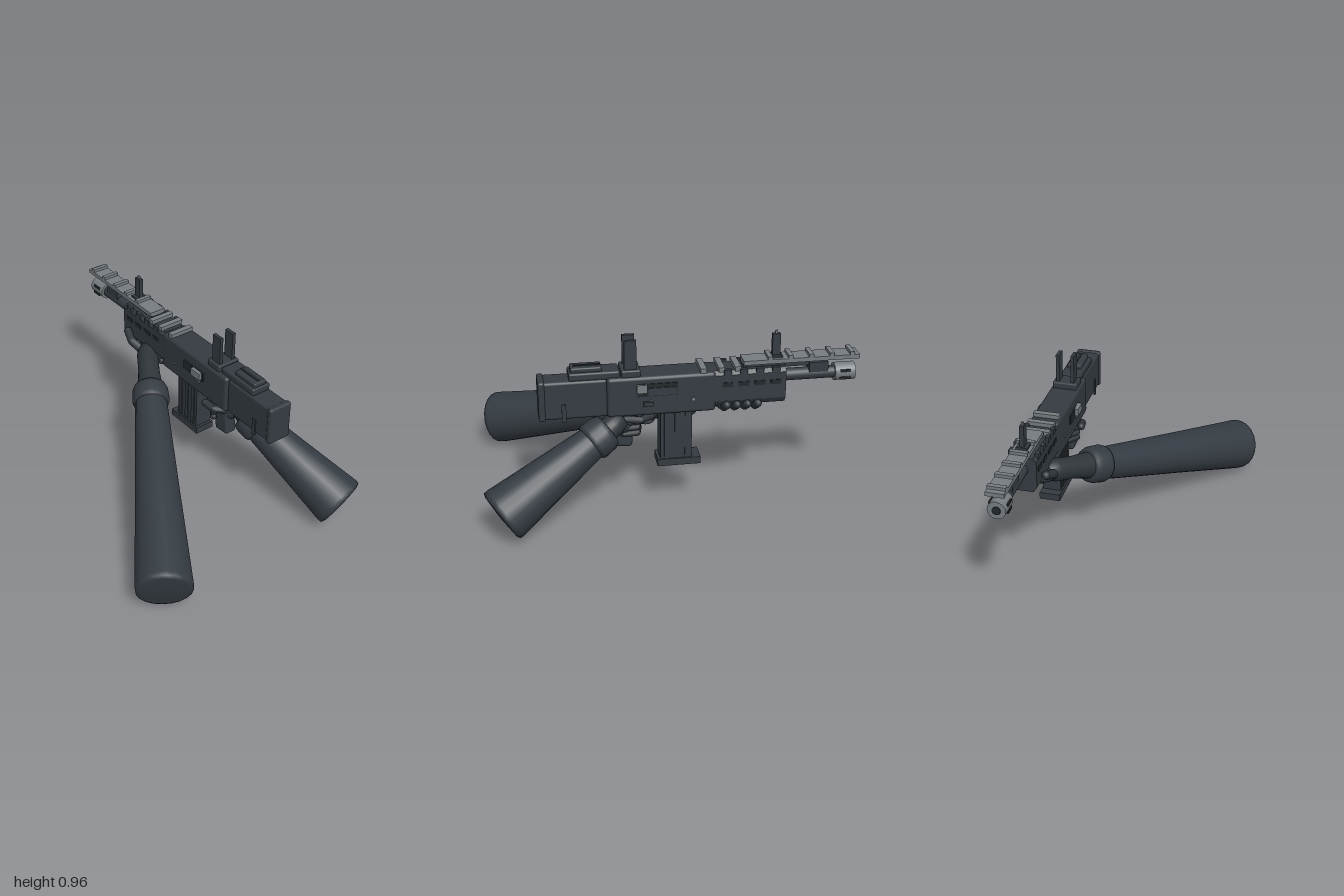
import * as THREE from 'three';
import { RoundedBoxGeometry } from 'three/addons/geometries/RoundedBoxGeometry.js';

const material = (name, color) => {
  const m = new THREE.MeshStandardMaterial({ color });
  m.name = name;
  return m;
};

export function createModel() {
  const gunmetal = material('gunmetal', 0x343b41);
  const fabric = material('sleeve fabric', 0x343b42);
  const glove = material('glove', 0x2e3439);
  const steel = material('bare steel', 0x757c80);
  const shadow = material('dark recess', 0x23282c);
  const model = new THREE.Group();
  const rifle = new THREE.Group();
  rifle.name = 'rifle';
  rifle.position.x = 0.298;
  model.add(rifle);

  const add = (parent, name, geometry, mat) => {
    const mesh = new THREE.Mesh(geometry, mat);
    mesh.name = name;
    parent.add(mesh);
    return mesh;
  };
  // Box given by its limits on each axis; x is measured from the rifle's middle
  const box = (name, x0, x1, y0, y1, z0, z1, mat = gunmetal, round = 0) => {
    const size = [x1 - x0, y1 - y0, z1 - z0];
    const geo = round ? new RoundedBoxGeometry(...size, 2, round) : new THREE.BoxGeometry(...size);
    const mesh = add(rifle, name, geo, mat);
    mesh.position.set((x0 + x1) / 2, (y0 + y1) / 2, (z0 + z1) / 2);
    return mesh;
  };
  // Centred box given by its half width
  const mid = (name, w, ...rest) => box(name, -w, w, ...rest);

  // Stock, receiver and handguard
  mid('stock', 0.063, 0.56, 0.768, 0.33, 0.67, gunmetal, 0.015);
  mid('buttPad', 0.069, 0.555, 0.773, 0.65, 0.685, gunmetal, 0.012);
  mid('receiver', 0.08, 0.558, 0.775, -0.23, 0.335, gunmetal, 0.018);
  const guard = new THREE.Shape();
  [[-0.06, 0.58], [0.06, 0.58], [0.078, 0.61], [0.078, 0.755], [0.06, 0.775],
    [-0.06, 0.775], [-0.078, 0.755], [-0.078, 0.61]]
    .forEach(([x, y], i) => (i ? guard.lineTo(x, y) : guard.moveTo(x, y)));
  add(rifle, 'handguard', new THREE.ExtrudeGeometry(guard, { depth: 0.38, bevelEnabled: false }), gunmetal)
    .position.z = -0.6;
  mid('handguardLowerRail', 0.045, 0.555, 0.585, -0.47, -0.25);
  mid('lowerRailPlate', 0.06, 0.567, 0.59, -0.35, -0.275, steel);
  for (const s of [-1, 1]) {
    const side = (name, w, t, ...rest) =>
      box(name, Math.min(s * w, s * (w + t)), Math.max(s * w, s * (w + t)), ...rest);
    for (let i = 0; i < 4; i++) {
      const z = -0.29 - i * 0.085;
      side('handguardSlot', 0.077, 0.004, 0.69, 0.715, z - 0.028, z + 0.028, shadow);
      side('handguardShoulder', 0.06, 0.02, 0.755, 0.785, z - 0.02, z + 0.02);
    }
    side('stockSlingSlot', 0.06, 0.01, 0.548, 0.645, 0.545, 0.568);
    side('rearSightProng', 0.032, 0.019, 0.8, 0.967, 0.18, 0.243);
    for (const z of [0.11, -0.11]) {
      const pin = add(rifle, 'receiverPin', new THREE.CylinderGeometry(0.009, 0.009, 0.014, 10), steel);
      pin.rotation.z = Math.PI / 2;
      pin.position.set(s * 0.079, 0.638, z);
    }
  }

  // Ejection port and controls
  box('ejectionPort', 0.077, 0.084, 0.668, 0.738, -0.03, 0.18, shadow);
  box('portCover', 0.08, 0.088, 0.672, 0.715, -0.025, 0.125);
  box('boltPlate', 0.08, 0.092, 0.69, 0.736, 0.13, 0.184, steel);
  box('selectorLever', 0.075, 0.095, 0.615, 0.64, 0.1, 0.15, gunmetal);
  box('leftPort', -0.088, -0.078, 0.66, 0.71, -0.02, 0.15, shadow);
  box('chargingHandle', -0.106, -0.08, 0.67, 0.71, 0.065, 0.14, steel);

  // Cheek rest on the stock
  mid('cheekRestBase', 0.057, 0.765, 0.807, 0.265, 0.527, gunmetal, 0.01);
  mid('cheekRest', 0.04, 0.8, 0.83, 0.356, 0.516, gunmetal, 0.008);
  mid('cheekRestGroove', 0.008, 0.826, 0.833, 0.36, 0.5, shadow);

  // Sights
  mid('rearSightBase', 0.068, 0.77, 0.81, 0.16, 0.26, gunmetal, 0.008);
  mid('frontSightBase', 0.03, 0.8, 0.825, -0.59, -0.525);
  mid('frontSightPost', 0.012, 0.81, 0.94, -0.58, -0.537);
  mid('frontSightTip', 0.005, 0.93, 0.957, -0.565, -0.552, steel);

  // Top rail with cross ribs
  mid('topRail', 0.048, 0.79, 0.813, -1, -0.38, steel);
  mid('topRailSupport', 0.035, 0.77, 0.792, -0.6, -0.38);
  for (let i = 0; i < 5; i++) {
    const z = -0.96 + i * 0.11;
    mid('railRib', 0.048, 0.81, 0.83, z - 0.012, z + 0.012, steel);
  }
  for (const z of [-0.165, -0.26, -0.345]) {
    mid('receiverRailRib', 0.072, 0.772, 0.797, z - 0.016, z + 0.016, steel);
  }

  // Barrel, gas block and muzzle
  const tube = (name, r, z0, z1, mat) => {
    const mesh = add(rifle, name, new THREE.CylinderGeometry(r, r, z1 - z0, 20), mat);
    mesh.rotation.x = Math.PI / 2;
    mesh.position.set(0, 0.705, (z0 + z1) / 2);
  };
  tube('barrel', 0.033, -0.89, -0.59, gunmetal);
  tube('muzzleBrake', 0.048, -0.985, -0.875, steel);
  tube('muzzleBore', 0.022, -0.99, -0.98, shadow);
  mid('gasBlock', 0.032, 0.72, 0.775, -0.837, -0.735);
  mid('gasTube', 0.015, 0.755, 0.785, -0.75, -0.59);
  for (const s of [-1, 1]) {
    for (const y of [0.682, 0.722]) {
      box('muzzleSlot', s * 0.046 - 0.004, s * 0.046 + 0.004, y - 0.007, y + 0.007, -0.955, -0.9, shadow);
    }
  }

  // Magazine with ribs
  mid('magazine', 0.05, 0.28, 0.56, -0.11, 0.056);
  mid('magazineFloorplate', 0.058, 0.246, 0.285, -0.158, 0.072);
  for (const s of [-1, 1]) {
    for (const z of [-0.085, -0.03, 0.025]) {
      box('magazineRib', s * 0.051 - 0.005, s * 0.051 + 0.005, 0.3, 0.555, z - 0.012, z + 0.012);
    }
  }

  // Pistol grip and trigger
  mid('pistolGrip', 0.035, 0.365, 0.57, 0.195, 0.295, gunmetal, 0.015).rotation.x = -0.08;
  const triggerGuard = new THREE.CatmullRomCurve3([[0.56, 0.19], [0.495, 0.17], [0.485, 0.1], [0.56, 0.065]]
    .map(([y, z]) => new THREE.Vector3(0, y, z)));
  add(rifle, 'triggerGuard', new THREE.TubeGeometry(triggerGuard, 12, 0.01, 6), gunmetal);
  mid('trigger', 0.008, 0.505, 0.56, 0.11, 0.128, steel);

  // Arm: lathe whose axis runs from cuff to elbow, wrist reaching back to the hand
  const arm = (name, from, to, reach) => {
    const a = new THREE.Vector3(...from);
    const dir = new THREE.Vector3(...to).sub(a);
    const len = dir.length();
    const group = new THREE.Group();
    group.name = name;
    group.position.copy(a);
    group.quaternion.setFromUnitVectors(new THREE.Vector3(0, 1, 0), dir.normalize());
    const lathe = (part, mat, points) =>
      add(group, part, new THREE.LatheGeometry(points.map((p) => new THREE.Vector2(...p)), 20), mat);
    lathe('sleeve', fabric, [[0.078, 0], [0.09, 0.06], [0.12, len * 0.55], [0.148, len - 0.03],
      [0.146, len - 0.008], [0.125, len], [0, len + 0.006]]);
    lathe('cuff', fabric, [[0.06, -0.065], [0.09, -0.06], [0.1, -0.035], [0.104, 0.03],
      [0.098, 0.05], [0.08, 0.055]]);
    lathe('wrist', glove, [[0, -reach], [0.045, -reach + 0.015], [0.062, -reach + 0.07],
      [0.06, -reach * 0.5], [0.074, -0.03]]);
    model.add(group);
  };
  arm('rightArm', [0.05, 0.485, -0.105], [-0.585, 0.147, 0.885], 0.37);
  arm('leftArm', [0.388, 0.46, 0.385], [0.573, 0.143, 0.91], 0.17);

  // Fingers are bent tubes with rounded joints
  const finger = (name, points, r = 0.022) => {
    const pts = points.map((p) => new THREE.Vector3(...p));
    const group = new THREE.Group();
    group.name = name;
    pts.forEach((p, i) => {
      add(group, 'joint', new THREE.SphereGeometry(r, 10, 8), glove).position.copy(p);
      if (!i) return;
      const d = p.clone().sub(pts[i - 1]);
      const bone = add(group, 'bone', new THREE.CylinderGeometry(r, r, d.length(), 10), glove);
      bone.position.copy(p).add(pts[i - 1]).multiplyScalar(0.5);
      bone.quaternion.setFromUnitVectors(new THREE.Vector3(0, 1, 0), d.normalize());
    });
    model.add(group);
  };
  const palm = (name, pos, scale) => {
    const mesh = add(model, name, new THREE.SphereGeometry(1, 16, 12), glove);
    mesh.position.set(...pos);
    mesh.scale.set(...scale);
  };

  // Hand holding the handguard from below
  palm('supportPalm', [0.255, 0.57, -0.375], [0.085, 0.045, 0.095]);
  for (let i = 0; i < 4; i++) {
    const z = -0.27 - i * 0.055;
    finger('supportFinger', [[0.25, 0.555, z], [0.345, 0.562, z - 0.01], [0.385, 0.59, z - 0.015]]);
  }
  finger('supportThumb', [[0.2, 0.58, -0.4], [0.175, 0.615, -0.46], [0.195, 0.642, -0.525]], 0.024);

  // Hand around the pistol grip
  palm('gripPalm', [0.318, 0.495, 0.255], [0.058, 0.055, 0.06]);
  for (let i = 0; i < 3; i++) {
    const y = 0.515 - i * 0.032;
    finger('gripFinger', [[0.35, y, 0.25], [0.345, y, 0.18], [0.28, y, 0.165], [0.245, y, 0.21]], 0.019);
  }
  finger('triggerFinger', [[0.355, 0.535, 0.24], [0.355, 0.525, 0.16], [0.315, 0.525, 0.1]], 0.019);
  finger('gripThumb', [[0.27, 0.52, 0.27], [0.22, 0.53, 0.24], [0.21, 0.54, 0.18]], 0.021);
  return model;
}
